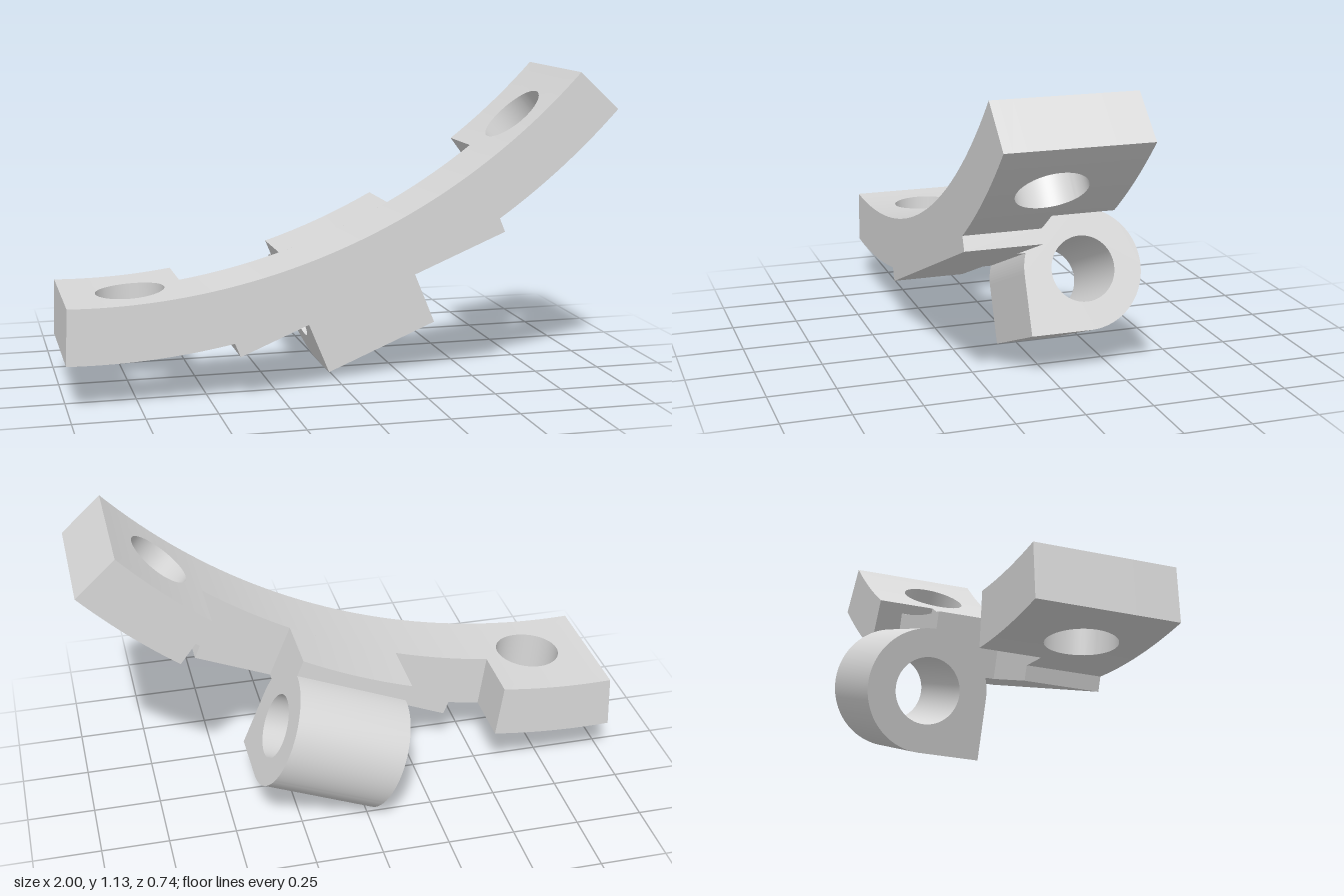
import * as THREE from 'three';
import { toCreasedNormals } from 'three/addons/utils/BufferGeometryUtils.js';

const rad = THREE.MathUtils.degToRad;
const lerp = THREE.MathUtils.lerp;
const R_IN = 2.4, R_OUT = 2.6, R_MID = 2.5;          // radii of the curved plate
const FRONT = 0.3725, NOTCH = 0.093, BACK = -0.13;   // depths along z
const NOTCH_ANGLE = rad(14.35), END_ANGLE = rad(24.6), HOLE_ANGLE = rad(18.8);

const polar = (r, a) => new THREE.Vector2(r * Math.sin(a), -r * Math.cos(a));

// Curved centre strip with a flat pad under it
function centreStrip() {
  const pts = [], n = 28, padHalf = 0.525, padAngle = Math.asin(padHalf / R_OUT);
  for (let i = 0; i <= n; i++) pts.push(polar(R_IN, NOTCH_ANGLE * (1 - 2 * i / n)));
  for (let i = 0; i <= 4; i++) pts.push(polar(R_OUT, lerp(-NOTCH_ANGLE, -padAngle, i / 4)));
  pts.push(new THREE.Vector2(-padHalf, -R_OUT), new THREE.Vector2(padHalf, -R_OUT));
  for (let i = 0; i <= 4; i++) pts.push(polar(R_OUT, lerp(padAngle, NOTCH_ANGLE, i / 4)));
  const g = new THREE.ExtrudeGeometry(new THREE.Shape(pts), { depth: FRONT - NOTCH, bevelEnabled: false });
  return g.translate(0, 0, NOTCH);
}

// Wide end plate: a closed cross-section from bolt hole to outline, swept around the hole
function endPlate(side) {
  const centre = side * HOLE_ANGLE, holeZ = 0.148, holeR = 0.123;
  const ends = [side * NOTCH_ANGLE - centre, side * END_ANGLE - centre].map(a => a * R_MID);
  const tMin = Math.min(...ends), tMax = Math.max(...ends);
  const zMin = BACK - holeZ, zMax = FRONT - holeZ;

  // evenly spaced rays, plus one through each corner
  const rays = [];
  for (let i = 0; i < 48; i++) rays.push(-Math.PI + i * Math.PI / 24);
  for (const t of [tMin, tMax]) for (const z of [zMin, zMax]) rays.push(Math.atan2(z, t));
  rays.sort((a, b) => a - b);

  // [fraction from hole to outline, radius]
  const steps = [0, 0.25, 0.5, 0.75, 1];
  const section = [...steps.map(f => [f, R_IN]), ...steps.map(f => [1 - f, R_OUT])];

  const position = [], index = [], m = section.length;
  rays.forEach((ray, k) => {
    const c = Math.cos(ray), s = Math.sin(ray);
    const reach = Math.min(Math.abs((c > 0 ? tMax : tMin) / c), Math.abs((s > 0 ? zMax : zMin) / s));
    section.forEach(([f, r], j) => {
      const p = polar(r, centre + lerp(Math.asin(holeR * c / r), reach * c / R_MID, f));
      position.push(p.x, p.y, holeZ + s * lerp(holeR, reach, f));
      const k1 = (k + 1) % rays.length, j1 = (j + 1) % m;
      index.push(k * m + j, k1 * m + j, k1 * m + j1, k * m + j, k1 * m + j1, k * m + j1);
    });
  });
  const g = new THREE.BufferGeometry();
  g.setAttribute('position', new THREE.Float32BufferAttribute(position, 3));
  g.setIndex(index);
  return g;
}

// Tab and bored barrel in one cross-section, swept along the barrel axis
function hingeBarrel() {
  const z0 = -0.148, v0 = 2.676, r = 0.2225, half = 0.222;
  const shape = new THREE.Shape();
  shape.moveTo(NOTCH, 2.39);
  shape.lineTo(z0, 2.39);
  shape.lineTo(z0, v0 - r);
  shape.absarc(z0, v0, r, -Math.PI / 2, -Math.PI * 1.5, true);
  shape.lineTo(z0 + r, v0 + r);
  shape.lineTo(z0 + r, v0);
  shape.absarc(z0, v0, r, 0, -Math.asin((v0 - R_OUT) / r), true);
  shape.lineTo(NOTCH, R_OUT);
  shape.closePath();
  shape.holes.push(new THREE.Path().absarc(z0, v0, 0.12, 0, Math.PI * 2, false));
  const g = new THREE.ExtrudeGeometry(shape, { depth: 2 * half, steps: 8, bevelEnabled: false, curveSegments: 32 });

  // stand the section across the axis; the top of the tab follows the curved plate
  const p = g.attributes.position;
  for (let i = 0; i < p.count; i++) {
    const z = p.getX(i), v = p.getY(i), u = p.getZ(i) - half;
    p.setXYZ(i, u, v < R_IN ? -Math.sqrt(R_IN * R_IN - u * u) : -v, z);
  }
  return g;
}

export function createModel() {
  const metal = new THREE.MeshStandardMaterial({ color: 0xd7d7d7 });
  metal.name = 'light grey metal';

  // Bracket frame: origin at the arc centre, tilted about z
  const bracket = new THREE.Group();
  bracket.name = 'bracket';
  bracket.position.set(-0.907, 2.766, 0);
  bracket.rotation.z = rad(22.5);

  const add = (name, geometry) => {
    const mesh = new THREE.Mesh(toCreasedNormals(geometry, 0.5), metal);
    mesh.name = name;
    bracket.add(mesh);
  };
  add('centreStrip', centreStrip());
  add('rightEndPlate', endPlate(-1));
  add('leftEndPlate', endPlate(1));
  add('hingeBarrel', hingeBarrel());

  const model = new THREE.Group();
  model.name = 'curvedHingeBracket';
  model.add(bracket);
  return model;
}
